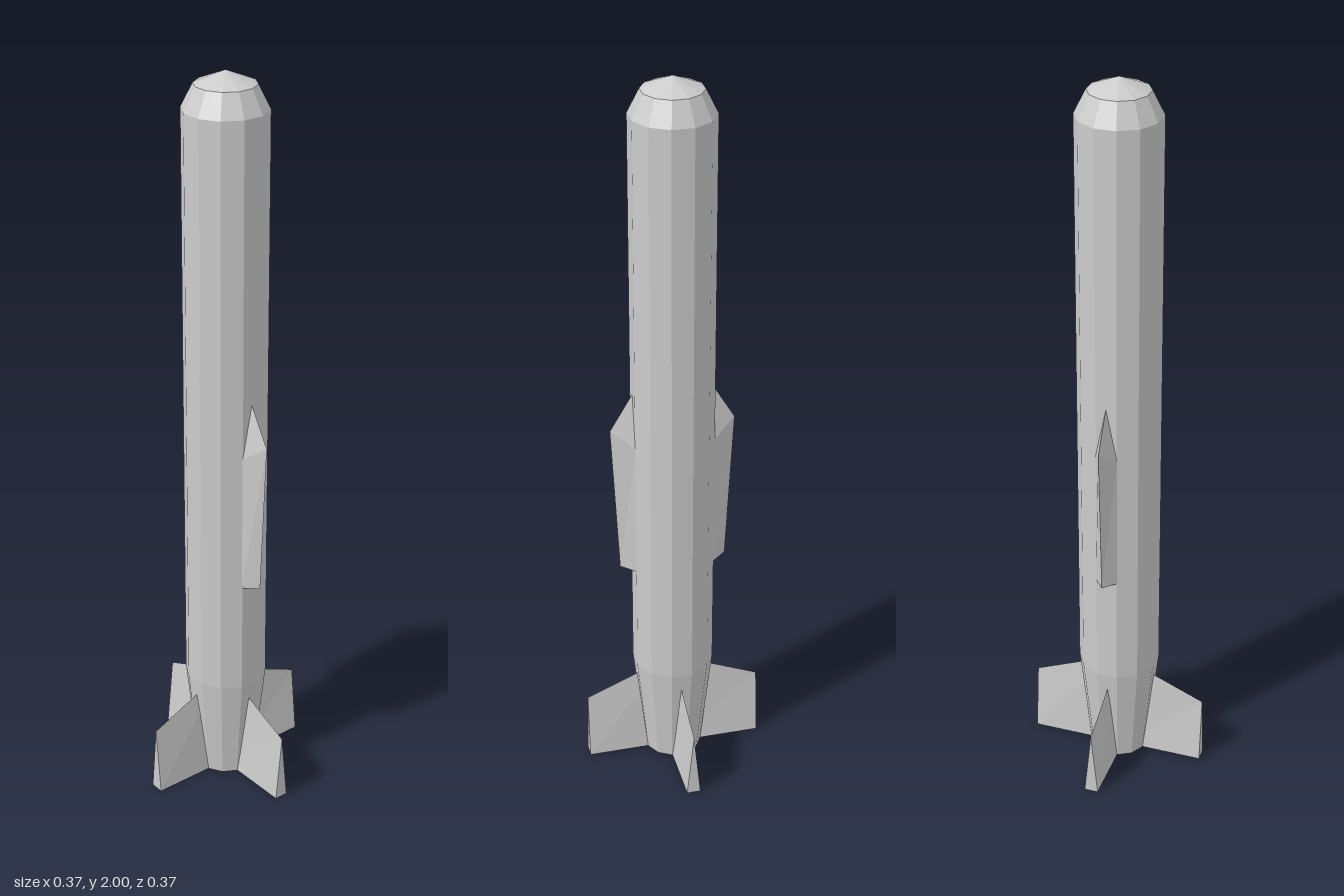
import * as THREE from 'three';

const material = new THREE.MeshStandardMaterial({ color: 0xcccccc, flatShading: true });

// Joins loops of [x, y, z] points, listed counter-clockwise seen from above, from bottom to top
function loft(loops) {
  const pos = [];
  const tri = (a, b, c) => pos.push(...a, ...b, ...c);
  const n = loops[0].length;
  for (let s = 0; s < loops.length - 1; s++) {
    for (let i = 0; i < n; i++) {
      const j = (i + 1) % n;
      const lo = loops[s], hi = loops[s + 1];
      tri(lo[i], lo[j], hi[j]);
      tri(lo[i], hi[j], hi[i]);
    }
  }
  const bottom = loops[0], top = loops[loops.length - 1];
  for (let i = 1; i < n - 1; i++) {
    tri(bottom[0], bottom[i + 1], bottom[i]);
    tri(top[0], top[i], top[i + 1]);
  }
  const geometry = new THREE.BufferGeometry();
  geometry.setAttribute('position', new THREE.Float32BufferAttribute(pos, 3));
  geometry.computeVertexNormals();
  return geometry;
}

// Wing section: wide at the body, tapering to a sharp outer ridge
const wingLoop = (t, root, ridge, rootY, ridgeY) => [
  [-t, rootY, 0.07], [-t, rootY, root], [0, ridgeY, ridge], [t, rootY, root], [t, rootY, 0.07],
];

// Tail fin section: constant thickness from root to tip
const finLoop = (t, rootY, tipY) => [
  [-t, rootY, 0.02], [-t, tipY, 0.245], [t, tipY, 0.245], [t, rootY, 0.02],
];

export function createModel() {
  const group = new THREE.Group();
  const add = (name, geometry, angle = 0) => {
    const mesh = new THREE.Mesh(geometry, material);
    mesh.name = name;
    mesh.rotation.y = angle;
    group.add(mesh);
  };

  // Twelve-sided body with a tapered tail and a blunt nose
  const profile = [[0, 0], [0.079, 0], [0.111, 0.3], [0.111, 1.905], [0.08, 1.967], [0, 2]];
  add('body', new THREE.LatheGeometry(profile.map(([r, y]) => new THREE.Vector2(r, y)), 12));

  // Two slim wings on opposite sides, pointed at the front
  const wing = loft([
    wingLoop(0.03, 0.106, 0.146, 0.615, 0.62),
    wingLoop(0.03, 0.106, 0.168, 1.0, 1.045),
    wingLoop(0, 0.106, 0.106, 1.15, 1.15),
  ]);
  add('leftWing', wing, Math.PI / 4);
  add('rightWing', wing, Math.PI * 1.25);

  // Four wedge-shaped tail fins, sharp at the top and thick at the bottom
  const fin = loft([finLoop(0.019, 0, 0), finLoop(0, 0.285, 0.19)]);
  for (let i = 0; i < 4; i++) add('tailFin' + (i + 1), fin, Math.PI * (0.25 + i * 0.5));

  return group;
}
